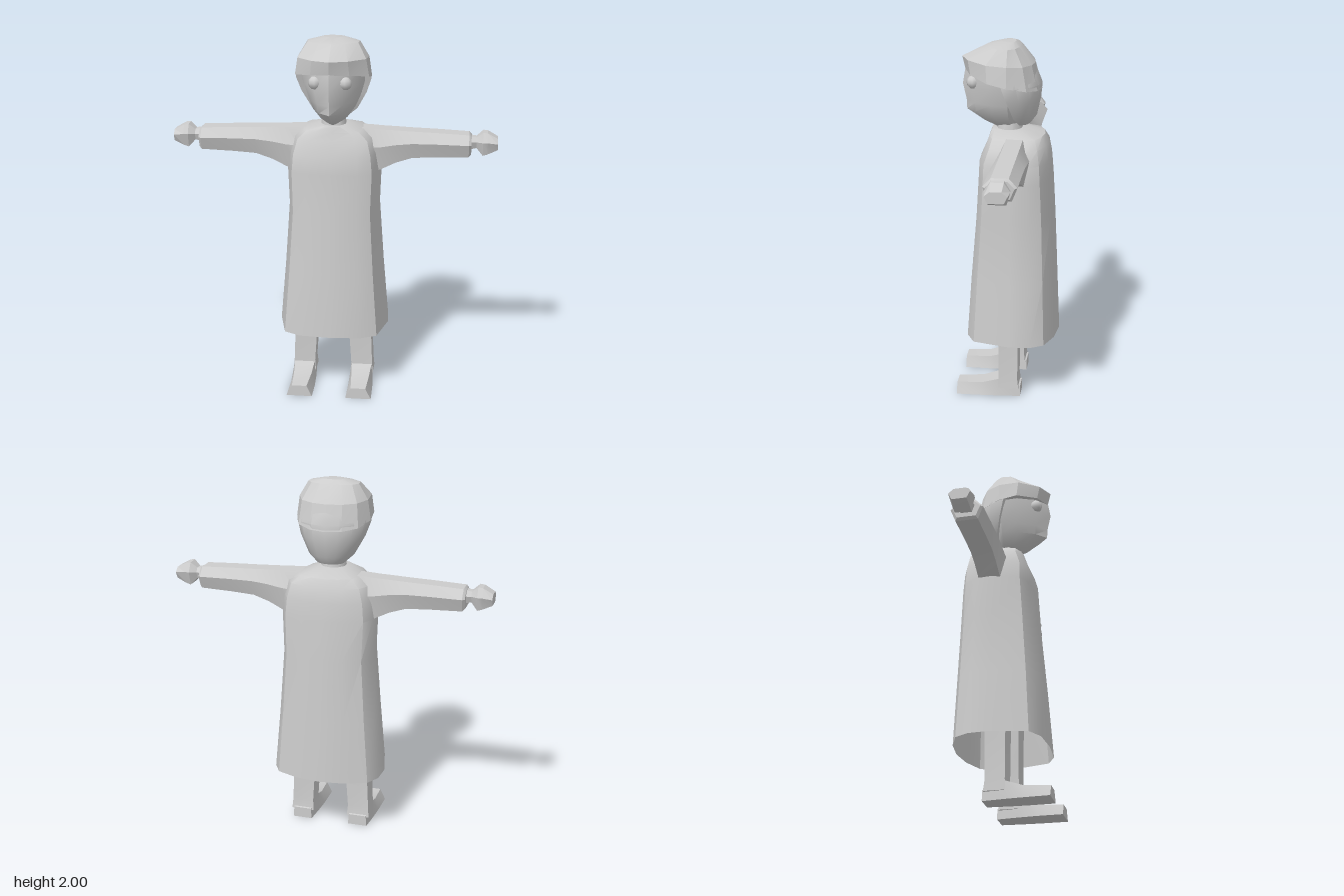
import * as THREE from 'three';
import { toCreasedNormals } from 'three/addons/utils/BufferGeometryUtils.js';

// Skin a list of equal-length rings (each turning right-handed about the path), with optional end caps.
function loft(rings, { capStart = true, capEnd = true, crease = 0.6 } = {}) {
  const n = rings[0].length;
  const pos = rings.flat(2);
  const index = [];
  for (let i = 0; i < rings.length - 1; i++) {
    for (let j = 0; j < n; j++) {
      const k = (j + 1) % n;
      const a = i * n + j, b = i * n + k, c = a + n, d = b + n;
      index.push(a, b, d, a, d, c);
    }
  }
  const last = (rings.length - 1) * n;
  for (let j = 1; j < n - 1; j++) {
    if (capStart) index.push(0, j + 1, j);
    if (capEnd) index.push(last, last + j, last + j + 1);
  }
  const g = new THREE.BufferGeometry();
  g.setAttribute('position', new THREE.Float32BufferAttribute(pos, 3));
  g.setIndex(index);
  return toCreasedNormals(g, crease);
}

// Horizontal ring from a half outline (front to back), mirrored in x; slope tilts it along z.
function ring(half, y, hx, zFront, zBack, slope = 0) {
  const right = half.map(([x, z]) => [x * hx, z > 0 ? z * zFront : -z * zBack]);
  const left = right.filter(([x]) => x > 0).reverse().map(([x, z]) => [-x, z]);
  return [...right, ...left].map(([x, z]) => [x, y + slope * z, z]);
}

// Flip a ring to the other side while keeping faces outward.
const mirror = (rings, s) => s > 0 ? rings
  : rings.map((r) => r.map(([x, y, z]) => [-x, y, z]).reverse());

export function createModel() {
  const group = new THREE.Group();
  const grey = new THREE.MeshStandardMaterial({ color: 0xcccccc, side: THREE.DoubleSide });
  grey.name = 'plain grey';
  const add = (name, geometry) => {
    const mesh = new THREE.Mesh(geometry, grey);
    mesh.name = name;
    group.add(mesh);
    return mesh;
  };

  // Long robe, open at the hem
  const robeHalf = [[0, 1], [0.55, 0.95], [0.84, 0.75], [1, -0.1], [0.98, -0.5],
    [0.84, -0.77], [0.45, -0.94], [0, -1]];
  add('robe', loft([
    [0.345, 0.308, 0.235, -0.28], [0.7, 0.277, 0.21, -0.265], [1.05, 0.252, 0.18, -0.25],
    [1.27, 0.26, 0.165, -0.238], [1.37, 0.25, 0.16, -0.23], [1.45, 0.225, 0.125, -0.215],
    [1.495, 0.17, 0.11, -0.19], [1.525, 0.075, 0.1, -0.08],
  ].map((a) => ring(robeHalf, ...a)), { capStart: false, crease: 0.65 }));

  // Neck
  const neck = add('neck', new THREE.CylinderGeometry(0.055, 0.075, 0.14, 10));
  neck.position.set(0, 1.56, 0.005);

  // Face with a soft central ridge
  const faceHalf = [[0, 1], [0.5, 0.77], [0.87, 0.38], [1, 0], [0.6, -1]];
  add('face', loft([
    [1.53, 0.035, 0.08, -0.03], [1.56, 0.075, 0.145, -0.04], [1.62, 0.118, 0.238, -0.05],
    [1.67, 0.14, 0.24, -0.05], [1.76, 0.172, 0.26, -0.05], [1.85, 0.182, 0.245, -0.05],
  ].map((a) => ring(faceHalf, ...a)), { crease: 0.7 }));

  // Faceted hair cap with a jutting fringe
  const capHalf = [[0, 1], [0.5, 0.83], [0.96, 0.42], [1, 0], [0.8, -0.6], [0.43, -0.9], [0, -1]];
  add('hairCap', loft([
    [1.8, 0.175, 0.2, -0.13, 0.15], [1.785, 0.206, 0.245, -0.172, 0.22],
    [1.895, 0.19, 0.262, -0.135, 0.06], [1.978, 0.14, 0.13, -0.06, 0], [1.999, 0.06, 0.05, -0.03, 0],
  ].map((a) => ring(capHalf, ...a)), { crease: 0.32 }));

  // Hair falling behind the head to the nape
  const backHair = (y, hx, zf, zb) => {
    const arc = [];
    for (let i = 0; i <= 8; i++) {
      const t = Math.PI * i / 8;
      arc.push([hx * Math.cos(t), y, zf + (zb - zf) * Math.sin(t)]);
    }
    return arc;
  };
  add('backHair', loft([
    [1.555, 0.075, -0.055, -0.11], [1.6, 0.125, -0.03, -0.143], [1.7, 0.178, 0, -0.165],
    [1.78, 0.204, 0.025, -0.172], [1.86, 0.19, 0.05, -0.14],
  ].map((a) => backHair(...a)), { crease: 0.6 }));

  // Sleeve ring at x: top, bottom, and overall scale in depth about the arm's axis
  const armRing = (x, yt, yb, d = 1) => {
    const ym = yb + (yt - yb) * 0.6;
    return [[yt, 0.045], [ym, 0.088], [yb, 0.06], [yb, -0.06], [ym, -0.088], [yt, -0.045]]
      .map(([y, z]) => [x, y, z * d - 0.04]);
  };

  for (const s of [1, -1]) {
    const side = s > 0 ? 'left' : 'right';

    // Sleeve, widening under the armpit
    add(side + 'Sleeve', loft(mirror([
      [0.1, 1.5, 1.3], [0.19, 1.498, 1.25], [0.26, 1.493, 1.272], [0.34, 1.49, 1.312],
      [0.43, 1.486, 1.342], [0.56, 1.482, 1.35], [0.735, 1.474, 1.356], [0.748, 1.462, 1.37, 0.85],
    ].map((a) => armRing(...a)), s), { crease: 0.6 }));

    // Hand on a narrow wrist
    add(side + 'Hand', loft(mirror([
      [0.73, 1.463, 1.39, 0.55], [0.775, 1.458, 1.4, 0.45], [0.81, 1.488, 1.362, 0.72],
      [0.835, 1.485, 1.37, 0.75], [0.89, 1.455, 1.395, 0.66],
    ].map((a) => armRing(...a)), s), { crease: 0.25 }));

    // Leg, rising inside the robe
    const legRing = (y, x0, x1, z0, z1) =>
      [[x0, y, z1], [x1, y, z1], [x1, y, z0], [x0, y, z0]];
    add(side + 'Leg', loft(mirror([
      [0.05, 0.1, 0.23, -0.072, 0.045], [0.11, 0.105, 0.225, -0.065, 0.042],
      [0.34, 0.09, 0.216, -0.068, 0.042], [0.8, 0.08, 0.22, -0.07, 0.05],
    ].map((a) => legRing(...a)), s), { crease: 0.5 }));

    // Foot, a tapering wedge toward the toe
    const footRing = (z, x0, x1, top, inset) => [[x0, 0, z], [x1, 0, z],
      [x1 - inset, top, z], [x0 + inset, top, z]];
    add(side + 'Foot', loft(mirror([
      [-0.08, 0.11, 0.22, 0.06, 0.005], [0.04, 0.1, 0.23, 0.102, 0.008],
      [0.14, 0.095, 0.235, 0.07, 0.02], [0.28, 0.095, 0.238, 0.062, 0.03],
    ].map((a) => footRing(...a)), s), { crease: 0.4 }));

    // Eye
    const eye = add(side + 'Eye', new THREE.SphereGeometry(0.036, 8, 6));
    eye.position.set(0.08 * s, 1.787, 0.192);
  }
  return group;
}
